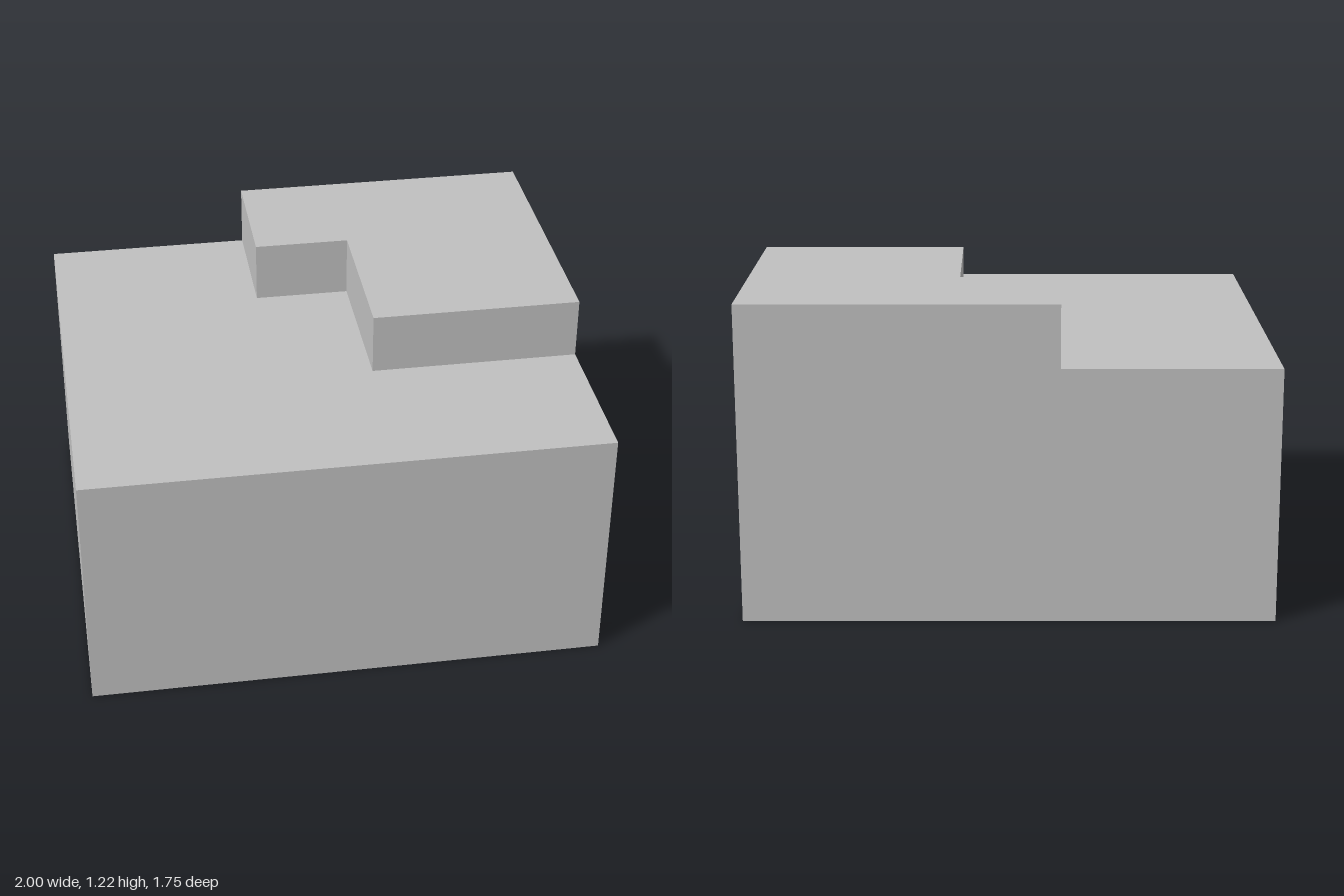
import * as THREE from 'three';

export function createModel() {
  const model = new THREE.Group();
  const grey = new THREE.MeshStandardMaterial({ color: 0xbfbfbf });
  grey.name = 'light grey';

  const baseHeight = 0.975, topHeight = 1.215, halfDepth = 0.875;

  // Extrudes an [x, z] outline upward between two heights
  function slab(name, outline, bottom, top) {
    const shape = new THREE.Shape(outline.map(([x, z]) => new THREE.Vector2(x, -z)));
    const geometry = new THREE.ExtrudeGeometry(shape, { depth: top - bottom, bevelEnabled: false });
    geometry.rotateX(-Math.PI / 2).translate(0, bottom, 0);
    const mesh = new THREE.Mesh(geometry, grey);
    mesh.name = name;
    model.add(mesh);
  }

  // Main block
  slab('baseBlock', [
    [-1, halfDepth], [1, halfDepth], [1, -halfDepth], [-1, -halfDepth],
  ], 0, baseHeight);

  // Raised L-shaped step in the back left corner
  slab('raisedStep', [
    [0.1875, 0.25], [1, 0.25], [1, -halfDepth],
    [-0.1875, -halfDepth], [-0.1875, -0.375], [0.1875, -0.375],
  ], baseHeight, topHeight);

  return model;
}
